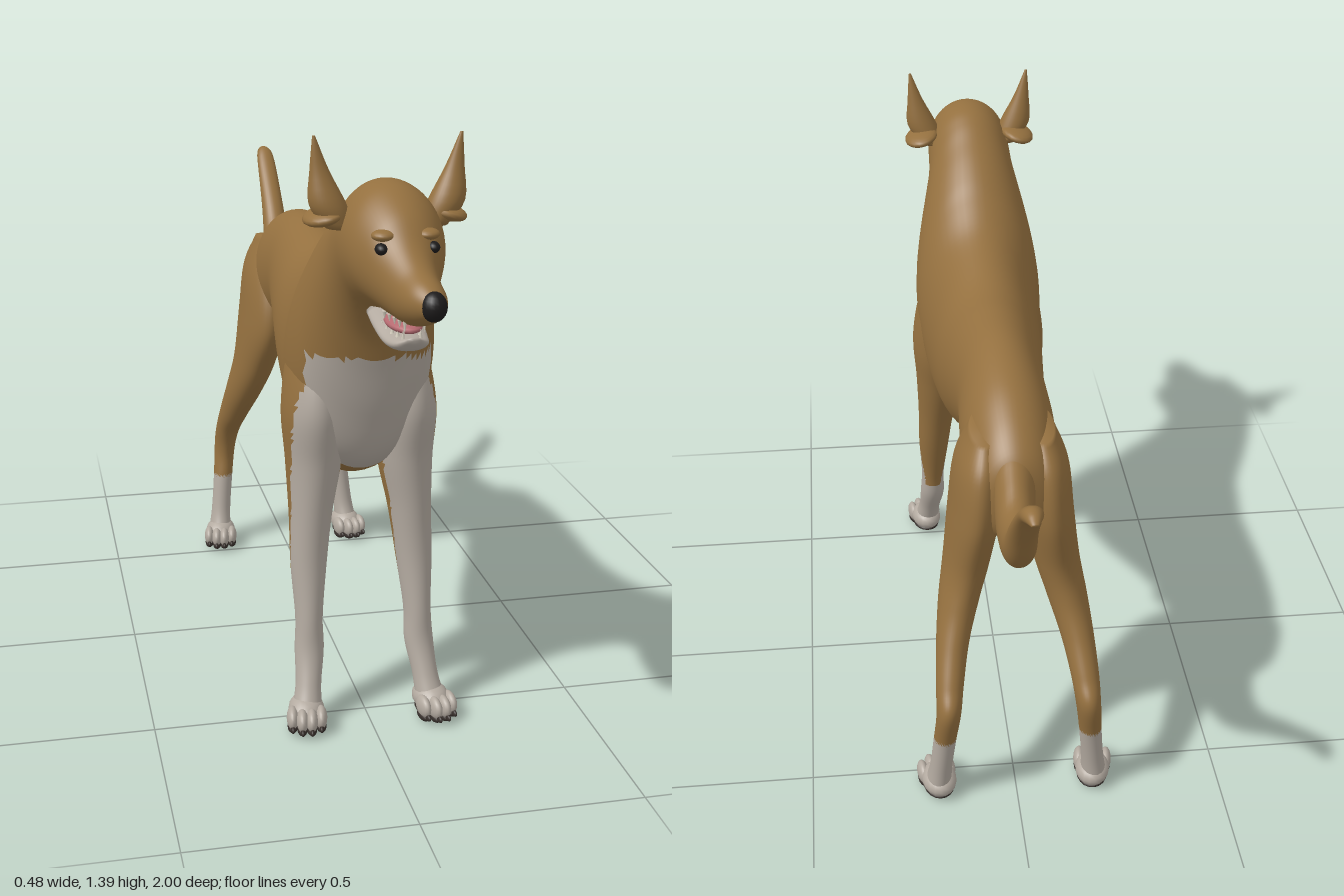
import * as THREE from 'three';

const material = (name, color) => {
  const m = new THREE.MeshStandardMaterial({ color });
  m.name = name;
  return m;
};

export function createModel() {
  const model = new THREE.Group();
  model.name = 'dog';
  const brown = material('brown coat', 0x94703f);
  const white = material('pale coat', 0xb3aaa0);
  const black = material('black nose and eyes', 0x1d1b1b);
  const dark = material('dark pads and claws', 0x38302c);
  const pink = material('pink tongue', 0xb56a70);
  const ivory = material('ivory teeth', 0xd9d2c2);

  // Smooth skin through elliptical rings.
  // Row: [y, z of the upper/front edge, y, z of the lower/back edge, half width, centre x]
  function loft(name, rows, paint, parent = model, mats = [brown, white], steps = 4, sides = 32) {
    const edgeA = new THREE.CatmullRomCurve3(rows.map(r => new THREE.Vector3(r[4], r[0], r[1])), false, 'catmullrom');
    const edgeB = new THREE.CatmullRomCurve3(rows.map(r => new THREE.Vector3(r[5] || 0, r[2], r[3])), false, 'catmullrom');
    const n = (rows.length - 1) * steps;
    const pos = [];
    for (let i = 0; i <= n; i++) {
      const a = edgeA.getPoint(i / n), b = edgeB.getPoint(i / n);
      for (let j = 0; j < sides; j++) {
        const t = (j / sides) * Math.PI * 2, c = Math.cos(t);
        pos.push(b.x + a.x * Math.sin(t),
          (a.y + b.y) / 2 + c * (a.y - b.y) / 2,
          (a.z + b.z) / 2 + c * (a.z - b.z) / 2);
      }
    }
    // End cap centres
    for (const t of [0, 1]) {
      const a = edgeA.getPoint(t), b = edgeB.getPoint(t);
      pos.push(b.x, (a.y + b.y) / 2, (a.z + b.z) / 2);
    }
    const first = (n + 1) * sides;
    const faces = [[], []];
    const add = (...ids) => {
      const mid = k => ids.reduce((s, i) => s + pos[i * 3 + k], 0) / 3;
      faces[paint && paint(mid(0), mid(1), mid(2)) ? 1 : 0].push(...ids);
    };
    for (let j = 0; j < sides; j++) {
      const k = (j + 1) % sides;
      for (let i = 0; i < n; i++) {
        const a = i * sides + j, b = i * sides + k;
        add(a, a + sides, b);
        add(b, a + sides, b + sides);
      }
      add(first, j, k);
      add(first + 1, n * sides + k, n * sides + j);
    }
    const g = new THREE.BufferGeometry();
    g.setAttribute('position', new THREE.Float32BufferAttribute(pos, 3));
    g.setIndex([...faces[0], ...faces[1]]);
    g.addGroup(0, faces[0].length, 0);
    if (faces[1].length) g.addGroup(faces[0].length, faces[1].length, 1);
    g.computeVertexNormals();
    const mesh = new THREE.Mesh(g, mats);
    mesh.name = name;
    parent.add(mesh);
    return mesh;
  }

  function blob(name, mat, at, size, parent = model) {
    const mesh = new THREE.Mesh(new THREE.SphereGeometry(1, 18, 12), mat);
    mesh.name = name;
    mesh.position.set(...at);
    mesh.scale.set(...size);
    parent.add(mesh);
    return mesh;
  }

  const bib = (x, y, z) => y < 0.89 && z > 0.45 + Math.max(0, y - 0.58) * 0.2;

  // Rump, trunk, neck, skull and muzzle
  loft('body', [
    [0.90, -0.555, 0.80, -0.555, 0.02],
    [0.95, -0.52, 0.73, -0.54, 0.075],
    [1.00, -0.45, 0.69, -0.47, 0.10],
    [1.04, -0.35, 0.71, -0.34, 0.11],
    [1.06, -0.20, 0.74, -0.20, 0.105],
    [1.05, -0.05, 0.68, -0.05, 0.12],
    [1.04, 0.08, 0.61, 0.08, 0.135],
    [1.06, 0.20, 0.55, 0.20, 0.145],
    [1.09, 0.30, 0.535, 0.29, 0.155],
    [1.14, 0.38, 0.565, 0.40, 0.165],
    [1.18, 0.43, 0.63, 0.50, 0.16],
    [1.215, 0.48, 0.75, 0.55, 0.145],
    [1.245, 0.53, 0.87, 0.58, 0.128],
    [1.275, 0.58, 0.95, 0.605, 0.115],
    [1.295, 0.63, 1.01, 0.65, 0.11],
    [1.298, 0.69, 1.035, 0.71, 0.108],
    [1.285, 0.74, 1.045, 0.76, 0.10],
    [1.25, 0.80, 1.045, 0.80, 0.082],
    [1.20, 0.85, 1.045, 0.84, 0.062],
    [1.165, 0.90, 1.045, 0.885, 0.05, 0.005],
    [1.145, 0.95, 1.06, 0.94, 0.04, 0.01],
    [1.125, 0.985, 1.08, 0.98, 0.022, 0.015],
  ], bib, model, [brown, white], 6, 56);

  loft('tail', [
    [1.105, -1.0, 1.095, -0.997, 0.008, 0.02],
    [1.115, -0.97, 1.075, -0.96, 0.02, 0.02],
    [1.10, -0.93, 1.04, -0.915, 0.026, 0.02],
    [0.99, -0.81, 0.94, -0.84, 0.031, 0.02],
    [0.91, -0.73, 0.84, -0.775, 0.036, 0.018],
    [0.89, -0.65, 0.775, -0.70, 0.041, 0.014],
    [0.915, -0.58, 0.755, -0.61, 0.045, 0.01],
    [0.945, -0.51, 0.82, -0.54, 0.045, 0.005],
    [0.97, -0.44, 0.88, -0.46, 0.04],
  ]);
  blob('sheath', brown, [0, 0.70, -0.12], [0.026, 0.032, 0.065]).rotation.x = -0.35;

  // Open mouth
  loft('lowerJaw', [
    [1.045, 0.69, 1.01, 0.69, 0.05],
    [1.035, 0.76, 0.995, 0.76, 0.052],
    [1.02, 0.82, 0.983, 0.82, 0.047],
    [1.018, 0.865, 0.988, 0.865, 0.036],
    [1.022, 0.89, 1.008, 0.888, 0.014],
  ], null, model, [white]);
  blob('tongue', pink, [0, 1.03, 0.80], [0.036, 0.014, 0.075]);
  blob('nose', black, [0.015, 1.105, 0.972], [0.026, 0.03, 0.028]);

  // Paw with four toes, claws and pads; the ankle is the origin
  function paw(x, z, s, parent) {
    const g = new THREE.Group();
    g.name = 'paw';
    g.position.set(x, 0, z);
    parent.add(g);
    blob('foot', white, [0, 0.038, -0.015], [0.042, 0.034, 0.055], g);
    blob('pad', dark, [0, 0.014, -0.01], [0.038, 0.014, 0.05], g);
    for (let i = 0; i < 4; i++) {
      const tx = (i - 1.5) * 0.022, tz = i % 3 ? 0.035 : 0.02;
      blob('toe', white, [tx, 0.034, tz], [0.014, 0.026, 0.032], g);
      blob('toePad', dark, [tx, 0.012, tz], [0.012, 0.012, 0.026], g);
      blob('claw', dark, [tx, 0.018, tz + 0.028], [0.005, 0.008, 0.012], g);
    }
    g.rotation.y = s * 0.15;
  }

  for (const s of [1, -1]) {
    const side = new THREE.Group();
    side.name = s > 0 ? 'leftSide' : 'rightSide';
    model.add(side);
    const flip = rows => rows.map(r => [...r.slice(0, 5), r[5] * s]);

    loft('frontLeg', flip([
      [0.98, 0.42, 0.95, 0.34, 0.02, 0.09],
      [0.88, 0.495, 0.86, 0.28, 0.055, 0.10],
      [0.75, 0.53, 0.72, 0.29, 0.07, 0.108],
      [0.62, 0.51, 0.60, 0.325, 0.064, 0.108],
      [0.50, 0.50, 0.47, 0.37, 0.05, 0.118],
      [0.38, 0.50, 0.35, 0.405, 0.042, 0.126],
      [0.25, 0.515, 0.24, 0.435, 0.032, 0.13],
      [0.17, 0.525, 0.165, 0.45, 0.034, 0.132],
      [0.10, 0.55, 0.09, 0.485, 0.03, 0.14],
      [0.05, 0.575, 0.03, 0.505, 0.034, 0.148],
    ]), (x, y, z) => y < 0.21 || bib(x, y, z), side, [brown, white], 8, 40);
    paw(s * 0.152, 0.555, s, side);

    loft('hindLeg', flip([
      [0.97, -0.36, 0.95, -0.49, 0.03, 0.065],
      [0.85, -0.28, 0.88, -0.54, 0.055, 0.075],
      [0.72, -0.255, 0.76, -0.555, 0.06, 0.085],
      [0.60, -0.315, 0.62, -0.53, 0.055, 0.105],
      [0.50, -0.39, 0.53, -0.54, 0.048, 0.128],
      [0.41, -0.475, 0.45, -0.575, 0.039, 0.148],
      [0.34, -0.545, 0.37, -0.625, 0.033, 0.16],
      [0.27, -0.575, 0.31, -0.66, 0.029, 0.166],
      [0.20, -0.57, 0.20, -0.635, 0.027, 0.175],
      [0.10, -0.555, 0.10, -0.62, 0.027, 0.185],
      [0.04, -0.53, 0.03, -0.615, 0.032, 0.192],
    ]), (x, y) => y < 0.205, side, [brown, white], 8, 40);
    paw(s * 0.192, -0.555, s, side);

    // Pointed ear over a folded base
    loft('ear', flip([
      [1.39, 0.664, 1.39, 0.658, 0.003, 0.155],
      [1.32, 0.675, 1.32, 0.642, 0.02, 0.143],
      [1.25, 0.695, 1.25, 0.625, 0.039, 0.126],
      [1.20, 0.69, 1.20, 0.62, 0.03, 0.10],
    ]), null, side);
    blob('earFold', brown, [s * 0.13, 1.222, 0.64], [0.045, 0.018, 0.065], side).rotation.z = -s * 0.25;

    blob('eye', black, [s * 0.053, 1.188, 0.826], [0.013, 0.012, 0.018], side);
    blob('brow', brown, [s * 0.045, 1.212, 0.81], [0.025, 0.012, 0.025], side);

    // Teeth along both jaws
    for (let i = 0; i < 5; i++) {
      const upper = new THREE.Mesh(new THREE.ConeGeometry(0.005, i === 4 ? 0.03 : 0.016, 6), ivory);
      upper.name = 'upperTooth';
      upper.position.set(s * (0.036 - i * 0.004), 1.045, 0.79 + i * 0.025);
      upper.rotation.x = Math.PI;
      const lower = new THREE.Mesh(new THREE.ConeGeometry(0.005, i === 4 ? 0.03 : 0.016, 6), ivory);
      lower.name = 'lowerTooth';
      lower.position.set(s * (0.038 - i * 0.005), 1.022, 0.775 + i * 0.024);
      side.add(upper, lower);
    }
  }
  return model;
}
